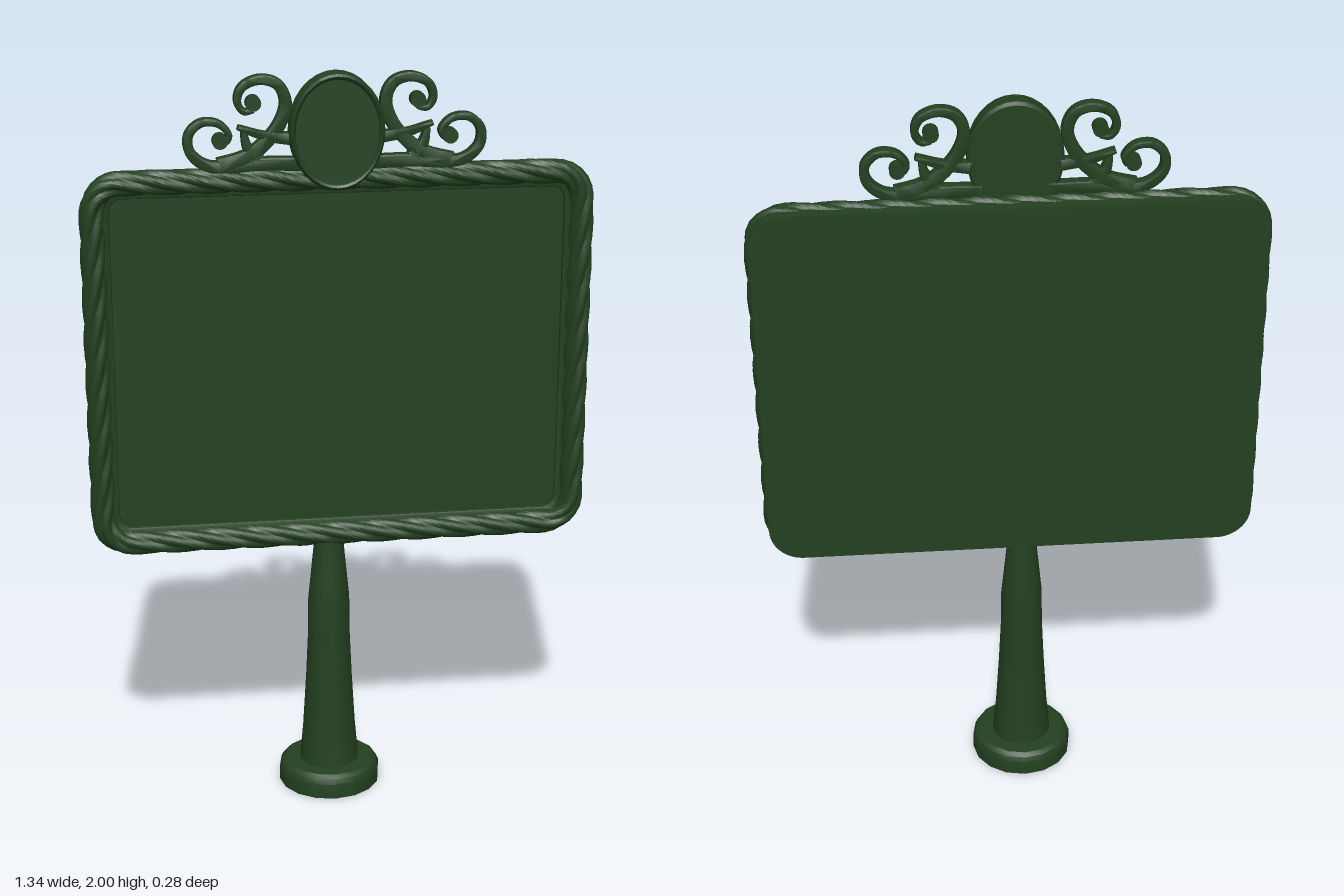
import * as THREE from 'three';
import { toCreasedNormals } from 'three/addons/utils/BufferGeometryUtils.js';

const material = new THREE.MeshStandardMaterial({ color: 0x234020 });
const MID_Y = 1.235;   // centre height of the board
const CREST_X = -0.015; // the crest and the post sit slightly off centre
const POST_X = -0.03;

function addMesh(parent, name, geometry, x = 0, y = 0, z = 0) {
  const mesh = new THREE.Mesh(geometry, material);
  mesh.name = name;
  mesh.position.set(x, y, z);
  parent.add(mesh);
  return mesh;
}

// Counter-clockwise rounded rectangle given by half sizes
function roundedRect(w, h, r, Type = THREE.Shape) {
  const s = new Type();
  s.moveTo(-w + r, -h);
  s.lineTo(w - r, -h);
  s.absarc(w - r, -h + r, r, -Math.PI / 2, 0);
  s.lineTo(w, h - r);
  s.absarc(w - r, h - r, r, 0, Math.PI / 2);
  s.lineTo(-w + r, h);
  s.absarc(-w + r, h - r, r, Math.PI / 2, Math.PI);
  s.lineTo(-w, -h + r);
  s.absarc(-w + r, -h + r, r, Math.PI, Math.PI * 1.5);
  return s;
}

function extrude(shape, depth, bevel = 0) {
  const g = new THREE.ExtrudeGeometry(shape, {
    depth: depth - 2 * bevel, curveSegments: 10, bevelEnabled: bevel > 0,
    bevelSize: bevel, bevelOffset: -bevel, bevelThickness: bevel, bevelSegments: 2,
  });
  g.translate(0, 0, bevel);
  return toCreasedNormals(g, 0.6);
}

// Lobed section swept round the board while it twists
function ropeGeometry(w, h, corner) {
  const steps = 240, lobes = 5, around = 30, turns = 8;
  const path = roundedRect(w, h, corner).getSpacedPoints(steps).slice(0, steps);
  const pos = [], index = [];
  for (let i = 0; i < steps; i++) {
    const p = path[i];
    const t = path[(i + 1) % steps].clone().sub(path[(i + steps - 1) % steps]).normalize();
    for (let j = 0; j < around; j++) {
      const a = (j / around) * Math.PI * 2;
      const r = 0.025 + 0.008 * Math.abs(Math.sin(a * lobes / 2));
      const b = a - (i / steps) * turns * Math.PI * 2;
      const out = r * Math.cos(b);
      pos.push(p.x + t.y * out, p.y - t.x * out, r * Math.sin(b));
      const i2 = (i + 1) % steps, j2 = (j + 1) % around;
      const A = i * around + j, B = i2 * around + j;
      const C = i2 * around + j2, D = i * around + j2;
      index.push(A, B, D, B, C, D);
    }
  }
  const g = new THREE.BufferGeometry();
  g.setAttribute('position', new THREE.Float32BufferAttribute(pos, 3));
  g.setIndex(index);
  return toCreasedNormals(g, 0.7);
}

// Flat ribbon along a curve, its width running from w0 to w1
function ribbon(points, w0, w1, side) {
  const curve = new THREE.SplineCurve(points.map(([x, y]) => new THREE.Vector2(x * side, y)));
  const left = [], right = [], n = 40;
  for (let i = 0; i <= n; i++) {
    const u = i / n, p = curve.getPoint(u), t = curve.getTangent(u);
    const half = (w0 + (w1 - w0) * u) / 2;
    left.push(new THREE.Vector2(p.x - t.y * half, p.y + t.x * half));
    right.unshift(new THREE.Vector2(p.x + t.y * half, p.y - t.x * half));
  }
  return extrude(new THREE.Shape([...left, ...right]), 0.032, 0.005);
}

function scrolls(side) {
  const group = new THREE.Group();
  group.name = side > 0 ? 'leftScrolls' : 'rightScrolls';
  addMesh(group, 'upperScroll', ribbon([
    [0.30, 1.765], [0.22, 1.79], [0.155, 1.85], [0.128, 1.915], [0.145, 1.965], [0.19, 1.981],
    [0.235, 1.965], [0.25, 1.93], [0.235, 1.902], [0.208, 1.905],
  ], 0.04, 0.014, side));
  addMesh(group, 'lowerScroll', ribbon([
    [0.08, 1.765], [0.19, 1.768], [0.27, 1.762], [0.33, 1.767], [0.37, 1.80], [0.374, 1.845],
    [0.343, 1.875], [0.30, 1.873], [0.272, 1.845], [0.28, 1.822],
  ], 0.036, 0.014, side));
  addMesh(group, 'leafStem', ribbon([[0.11, 1.83], [0.18, 1.838], [0.25, 1.862]], 0.034, 0.012, side));
  addMesh(group, 'leafBrace', ribbon([[0.20, 1.775], [0.225, 1.81], [0.235, 1.85]], 0.04, 0.014, side));
  // Round buds where the scrolls end
  for (const [x, y] of [[0.21, 1.922], [0.295, 1.828]]) {
    const bud = new THREE.CylinderGeometry(0.02, 0.02, 0.032, 16);
    bud.rotateX(Math.PI / 2);
    addMesh(group, 'scrollBud', bud, x * side, y, 0.016);
  }
  group.position.set(CREST_X, 0, 0.018);
  return group;
}

function lathe(profile, sides, crease) {
  const pts = profile.map(([r, y]) => new THREE.Vector2(r, y));
  return toCreasedNormals(new THREE.LatheGeometry(pts, sides), crease);
}

export function createModel() {
  const model = new THREE.Group();
  model.name = 'signStand';

  // Foot and tapering post
  addMesh(model, 'foot', lathe([
    [0, 0], [0.14, 0], [0.14, 0.042], [0.134, 0.056], [0.122, 0.065], [0, 0.068],
  ], 16, 0.5), POST_X);
  addMesh(model, 'post', lathe([
    [0.083, 0.06], [0.073, 0.17], [0.064, 0.32], [0.058, 0.45], [0.057, 0.55],
    [0.051, 0.61], [0.042, 0.70], [0.04, 0.73], [0, 0.73],
  ], 16, 0.5), POST_X);

  // Board, inner lip and twisted border
  const board = new THREE.Group();
  board.name = 'board';
  board.position.y = MID_Y;
  model.add(board);
  addMesh(board, 'backPanel', extrude(roundedRect(0.657, 0.51, 0.09), 0.04), 0, 0, -0.037);
  const lip = roundedRect(0.635, 0.488, 0.07);
  lip.holes.push(roundedRect(0.593, 0.446, 0.035, THREE.Path));
  addMesh(board, 'innerLip', extrude(lip, 0.016, 0.005), 0, 0, 0);
  addMesh(board, 'twistedBorder', ropeGeometry(0.638, 0.488, 0.075), 0, 0, 0.016);

  // Crest: oval medallion with a raised rim between mirrored scrolls
  const medallion = lathe([
    [0, 0], [0.95, 0], [1, 0.008], [1, 0.05], [0.98, 0.061], [0.94, 0.066],
    [0.90, 0.062], [0.875, 0.052], [0, 0.052],
  ], 32, 0.6);
  medallion.rotateX(Math.PI / 2);
  medallion.scale(0.122, 0.15, 1);
  medallion.computeVertexNormals();
  addMesh(model, 'medallion', toCreasedNormals(medallion, 0.6), CREST_X, 1.85, 0.021);
  for (const side of [1, -1]) model.add(scrolls(side));

  return model;
}
